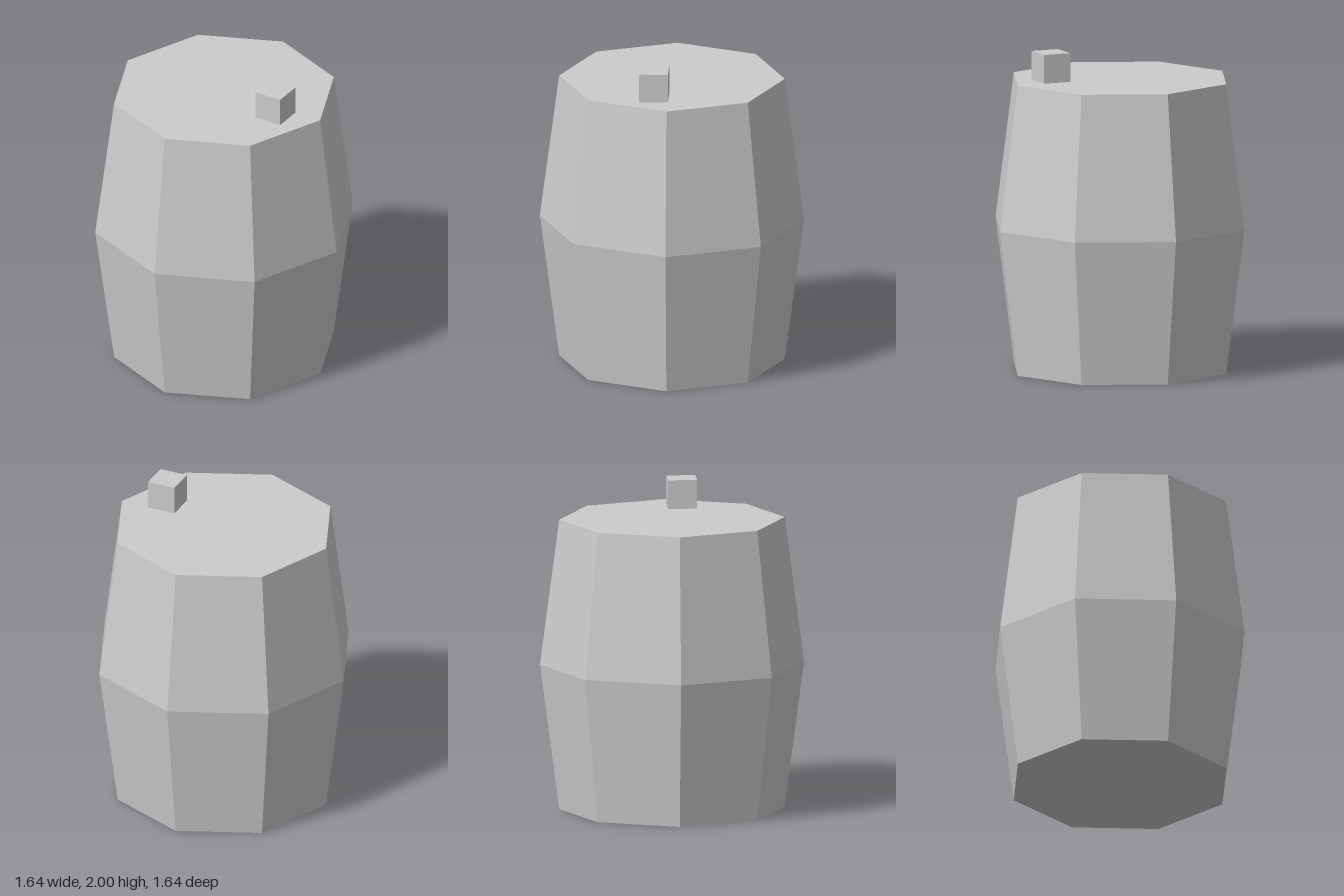
import * as THREE from 'three';

const SIDES = 8, HEIGHT = 1.82, END_RADIUS = 0.7, BELLY_RADIUS = 0.82, BUNG = 0.18;

export function createModel() {
  const model = new THREE.Group();
  model.name = 'barrel';
  const material = new THREE.MeshStandardMaterial({ color: 0xcccccc, flatShading: true });

  // Barrel body: eight-sided closed cylinder whose middle ring is pushed out
  const bodyGeometry = new THREE.CylinderGeometry(END_RADIUS, END_RADIUS, HEIGHT, SIDES, 2);
  const position = bodyGeometry.attributes.position;
  const bulge = BELLY_RADIUS / END_RADIUS;
  for (let i = 0; i < position.count; i++) {
    if (Math.abs(position.getY(i)) < 0.01) {
      position.setX(i, position.getX(i) * bulge);
      position.setZ(i, position.getZ(i) * bulge);
    }
  }
  bodyGeometry.computeVertexNormals();
  const body = new THREE.Mesh(bodyGeometry, material);
  body.name = 'barrelBody';
  body.position.y = HEIGHT / 2;
  model.add(body);

  // Small cube bung standing on the lid
  const bung = new THREE.Mesh(new THREE.BoxGeometry(BUNG, BUNG, BUNG), material);
  bung.name = 'bung';
  bung.position.set(0.43, HEIGHT + BUNG / 2, BUNG / 2);
  model.add(bung);

  return model;
}
